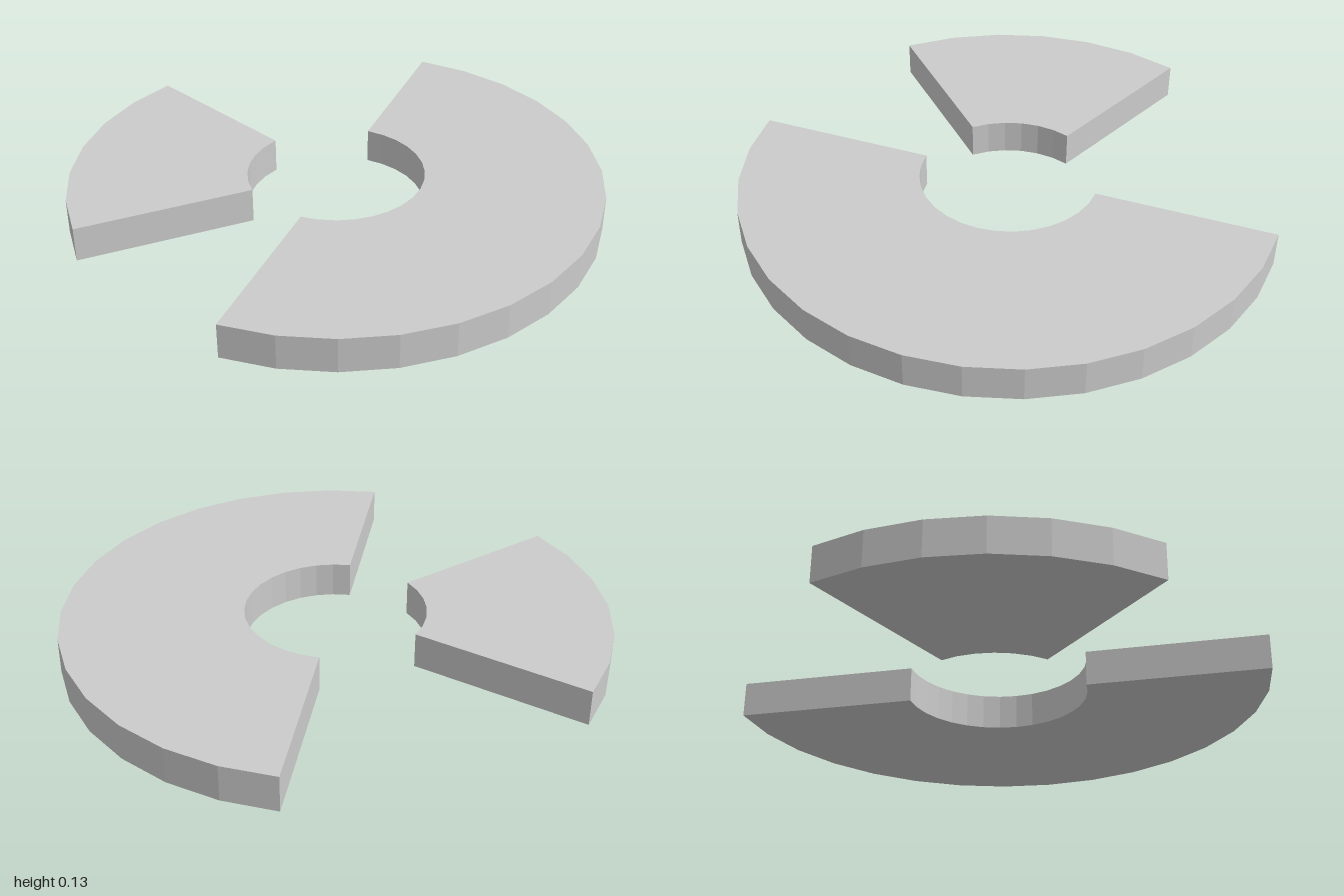
import * as THREE from 'three';

const OUTER = 1, INNER = 1 / 3, HEIGHT = 0.133;
const STEP = Math.PI / 16; // 32 facets to a full turn

// Flat ring sector spanning facets first..last, counted anticlockwise from +x as seen from above
function ringSector(name, first, last, material) {
  const points = [];
  const add = (radius, i) =>
    points.push(new THREE.Vector2(radius * Math.cos(i * STEP), radius * Math.sin(i * STEP)));
  for (let i = first; i <= last; i++) add(OUTER, i);
  for (let i = last; i >= first; i--) add(INNER, i);

  const geometry = new THREE.ExtrudeGeometry(new THREE.Shape(points), { depth: HEIGHT, bevelEnabled: false });
  geometry.rotateX(-Math.PI / 2);
  const mesh = new THREE.Mesh(geometry, material);
  mesh.name = name;
  return mesh;
}

export function createModel() {
  const material = new THREE.MeshStandardMaterial({ color: 0xcccccc, flatShading: true });
  const group = new THREE.Group();
  group.name = 'splitRing';
  // Half ring and the smaller wedge opposite it
  group.add(ringSector('halfRing', -11, 5, material));
  group.add(ringSector('smallWedge', 11, 17, material));
  // Centre the cut ring's bounds on z = 0
  group.children.forEach((part) => { part.position.z = -(OUTER - Math.sin(5 * STEP)) / 2; });
  return group;
}
